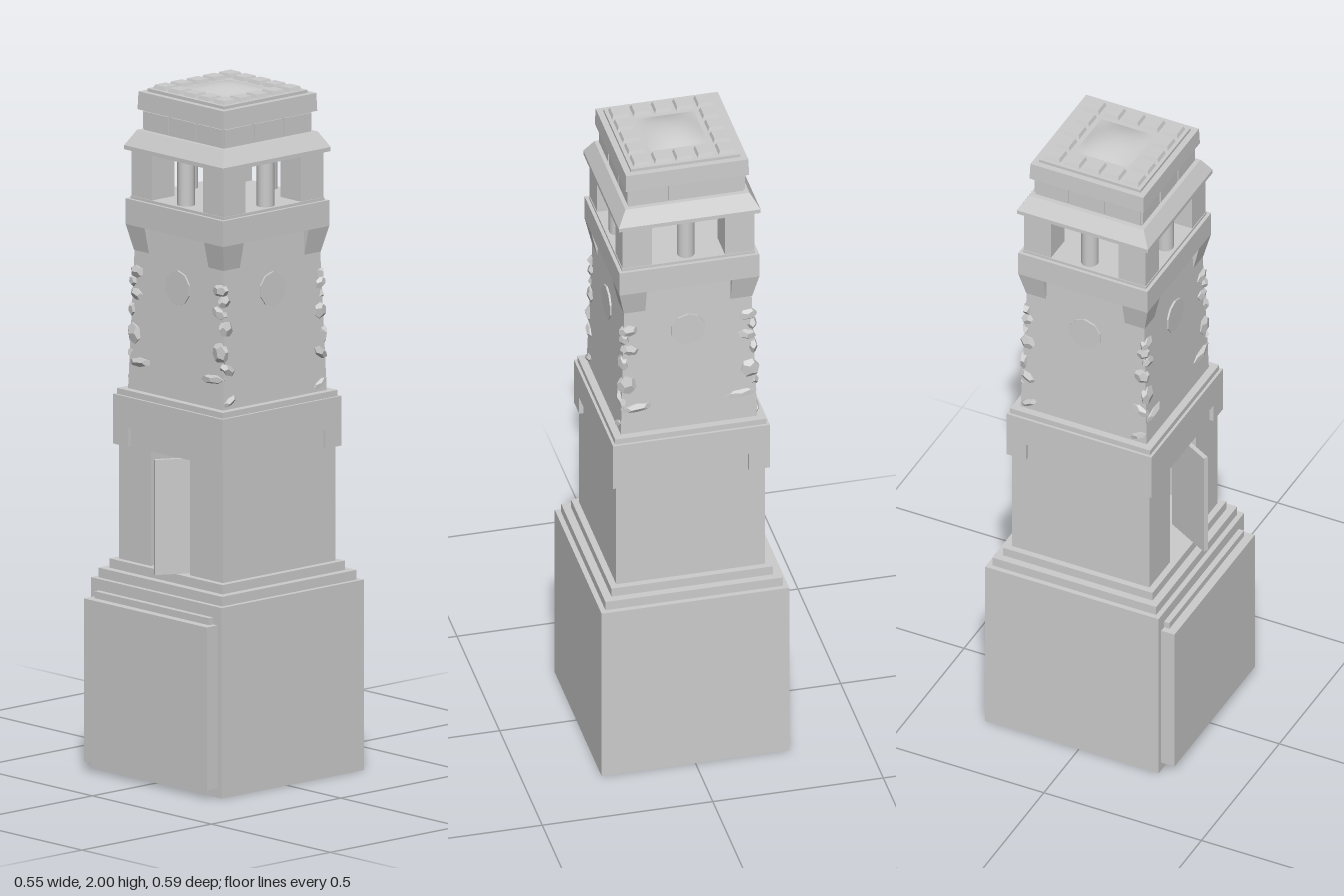
import * as THREE from 'three';

export function createModel() {
  const model = new THREE.Group();
  const tower = new THREE.Group();
  tower.name = 'tower';
  tower.position.z = -0.022; // tower axis sits slightly behind the centre
  model.add(tower);

  const mat = new THREE.MeshStandardMaterial({ color: 0xcccccc, flatShading: true });
  const smooth = new THREE.MeshStandardMaterial({ color: 0xcccccc });

  const add = (name, geo, parent = tower, material = mat) => {
    const m = new THREE.Mesh(geo, material);
    m.name = name;
    parent.add(m);
    return m;
  };
  // box given by its limits
  const block = (name, x0, x1, y0, y1, z0, z1, parent = tower) =>
    add(name, new THREE.BoxGeometry(x1 - x0, y1 - y0, z1 - z0)
      .translate((x0 + x1) / 2, (y0 + y1) / 2, (z0 + z1) / 2), parent);
  // square tier; half widths at bottom and top
  const tier = (name, y0, y1, h0, h1 = h0) => {
    const geo = new THREE.BoxGeometry(2, y1 - y0, 2).translate(0, (y0 + y1) / 2, 0);
    const p = geo.attributes.position, mid = (y0 + y1) / 2;
    for (let i = 0; i < p.count; i++) {
      const h = p.getY(i) < mid ? h0 : h1;
      p.setX(i, p.getX(i) * h);
      p.setZ(i, p.getZ(i) * h);
    }
    geo.computeVertexNormals();
    return add(name, geo);
  };
  // runs a builder once per side, turned by quarter turns
  const fourSides = (name, build) => {
    for (let i = 0; i < 4; i++) {
      const g = new THREE.Group();
      g.name = name;
      g.rotation.y = i * Math.PI / 2;
      tower.add(g);
      build(g, i);
    }
  };

  // hollow plinth, open below, with a stepped slab on the front
  fourSides('plinthSide', g => block('plinthWall', -0.275, 0.275, 0, 0.555, 0.25, 0.275, g));
  block('plinthTop', -0.26, 0.26, 0.53, 0.555, -0.26, 0.26);
  block('frontSlab', -0.258, 0.258, 0.027, 0.502, 0.27, 0.317);
  block('frontSlabLedge', -0.24, 0.24, 0.5, 0.522, 0.27, 0.292);
  tier('lowerStep', 0.555, 0.583, 0.26);
  tier('upperStep', 0.583, 0.61, 0.237);

  // hollow lower storey with a doorway in front
  fourSides('storeySide', (g, i) => {
    if (i) return block('storeyWall', -0.218, 0.218, 0.61, 1, 0.195, 0.218, g);
    block('doorwayLeftWall', 0.08, 0.218, 0.61, 1, 0.195, 0.218, g);
    block('doorwayRightWall', -0.218, -0.085, 0.61, 1, 0.195, 0.218, g);
    block('doorwayLintel', -0.085, 0.08, 0.945, 1, 0.195, 0.218, g);
  });
  const door = add('door', new THREE.BoxGeometry(0.014, 0.335, 0.158));
  door.position.set(0.043, 0.7775, 0.217);
  door.rotation.y = -0.5;

  // collar with dropped corners
  tier('collar', 1, 1.09, 0.23);
  fourSides('collarCorner', g =>
    block('collarDrop', 0.168, 0.23, 0.945, 1, 0.168, 0.23, g));
  tier('collarCap', 1.09, 1.107, 0.222);

  // tapered upper shaft
  tier('shaft', 1.107, 1.6, 0.2, 0.184);
  fourSides('roundel', g => {
    const disc = add('roundelDisc', new THREE.CylinderGeometry(0.051, 0.051, 0.02, 10), g);
    disc.rotation.x = Math.PI / 2;
    disc.position.set(0, 1.43, 0.184);
  });

  // rough carvings climbing the shaft corners: y, inset from corner, width, height, tilt
  const carvings = [
    [1.13, 0.025, 0.03, 0.012, 0.5], [1.19, 0.045, 0.05, 0.015, 0.1],
    [1.22, 0.018, 0.03, 0.016, -0.6], [1.27, 0.015, 0.03, 0.034, 0.2],
    [1.34, 0.012, 0.025, 0.026, 0.4], [1.385, 0.02, 0.03, 0.018, -0.3],
    [1.42, 0.006, 0.022, 0.018, 0.6], [1.45, 0.015, 0.03, 0.02, 0.1],
  ];
  fourSides('cornerCarvings', (g, side) => {
    carvings.forEach(([y, inset, w, h, tilt], i) => {
      const half = 0.2 - 0.016 * (y - 1.107) / 0.493;
      // alternate between the two faces meeting at the corner
      const onSide = (i + side) % 2 === 0;
      const m = add('carving', new THREE.DodecahedronGeometry(1, 0), g);
      m.scale.set(onSide ? 0.015 : w, h, onSide ? w : 0.015);
      m.position.set(half - (onSide ? 0.003 : inset), y, half - (onSide ? inset : 0.003));
      m.rotation[onSide ? 'x' : 'z'] = tilt;
    });
  });

  // flared band whose corners drop either side of a sunken panel
  tier('band', 1.585, 1.66, 0.205);
  fourSides('bandCorner', g => {
    const drop = block('bandDrop', 0.125, 0.205, 1.51, 1.585, 0.125, 0.205, g);
    const p = drop.geometry.attributes.position;
    for (let i = 0; i < p.count; i++) {
      if (p.getY(i) > 1.55) continue;
      if (p.getX(i) > 0.17) p.setX(i, 0.188);
      if (p.getZ(i) > 0.17) p.setZ(i, 0.188);
    }
    drop.geometry.computeVertexNormals();
  });

  // open belfry
  tier('belfryFloor', 1.66, 1.668, 0.195);
  fourSides('belfrySide', g => {
    block('cornerPier', 0.107, 0.193, 1.66, 1.81, 0.107, 0.193, g);
    const column = add('column', new THREE.CylinderGeometry(0.025, 0.025, 0.15, 16), g, smooth);
    column.position.set(0, 1.735, 0.16);
  });

  // sloped eave and parapet
  tier('eaveEdge', 1.803, 1.815, 0.208);
  tier('eave', 1.815, 1.86, 0.208, 0.182);
  tier('neck', 1.86, 1.92, 0.168);
  fourSides('neckBlocks', g => {
    for (const x of [-0.115, 0, 0.115])
      block('neckBlock', x - 0.052, x + 0.052, 1.865, 1.915, 0.16, 0.172, g);
  });
  tier('parapet', 1.92, 1.972, 0.181, 0.179);
  tier('roofSlab', 1.972, 1.981, 0.161);

  // ring of small blocks around a shallow dome
  for (let i = -2; i <= 2; i++) for (let j = -2; j <= 2; j++) {
    if (Math.max(Math.abs(i), Math.abs(j)) < 2) continue;
    const b = tier('roofBlock', 1.981, 1.992, 0.025, 0.021);
    b.position.set(i * 0.0625, 0, j * 0.0625);
  }
  const dome = new THREE.PlaneGeometry(0.17, 0.17, 10, 10).rotateX(-Math.PI / 2);
  const p = dome.attributes.position;
  for (let i = 0; i < p.count; i++) {
    const u = p.getX(i) / 0.085, v = p.getZ(i) / 0.085;
    p.setY(i, 1.982 + 0.018 * (1 - u * u) * (1 - v * v));
  }
  dome.computeVertexNormals();
  add('roofDome', dome, tower, smooth);

  return model;
}
